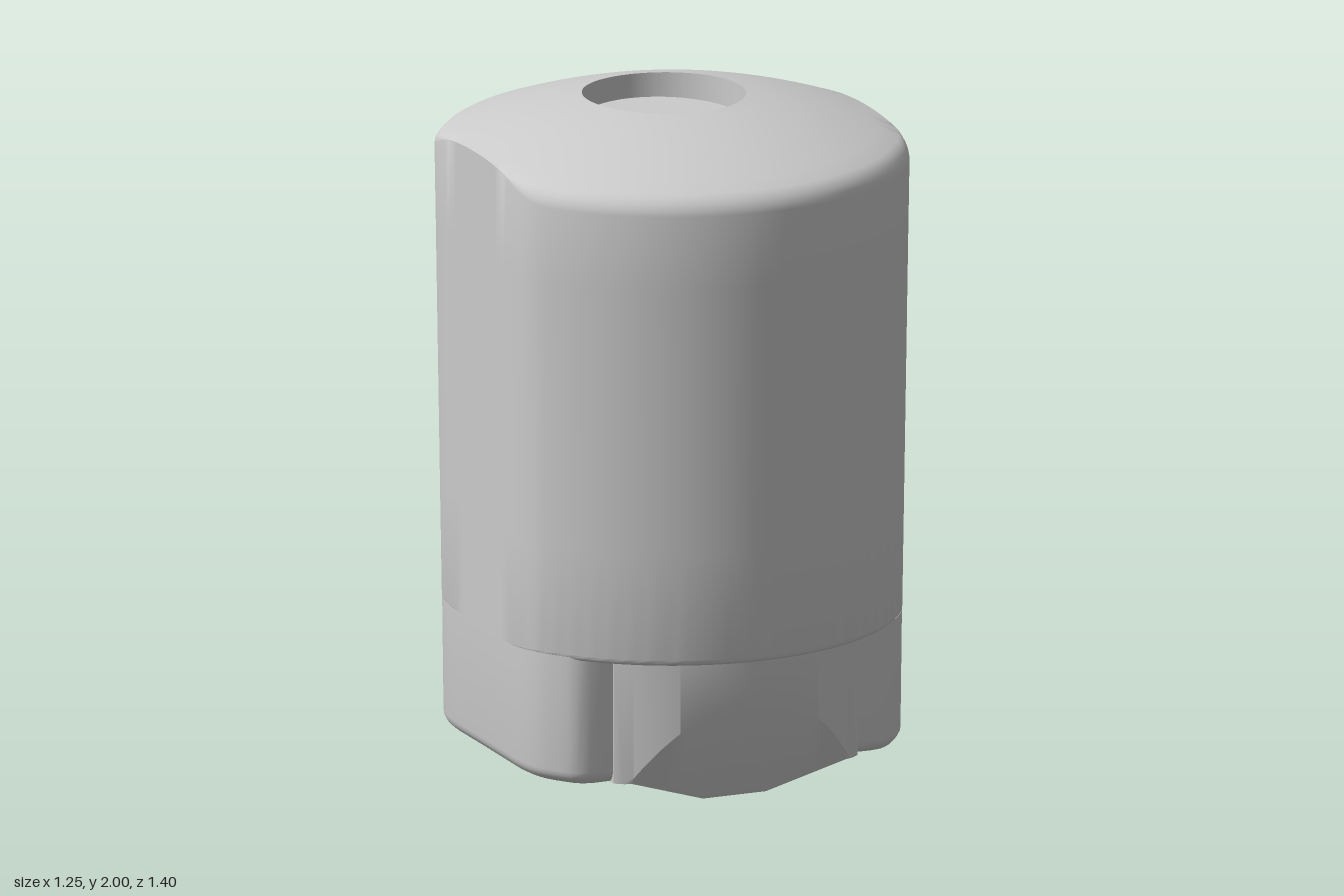
import * as THREE from 'three';
import { toCreasedNormals } from 'three/addons/utils/BufferGeometryUtils.js';

const SIDES = 144;
const V = (x, y, z) => new THREE.Vector3(x, y, z);

// Closed skin through rows of points; each row is a loop, end rows are capped to their centre.
function loft(rows) {
  const centre = row => {
    const c = row.reduce((s, p) => s.add(p), V(0, 0, 0)).divideScalar(row.length);
    return row.map(() => c);
  };
  const all = [centre(rows[0]), ...rows, centre(rows[rows.length - 1])];
  const n = rows[0].length, index = [];
  for (let i = 0; i < all.length - 1; i++) {
    for (let j = 0; j < n; j++) {
      const a = i * n + j, b = i * n + (j + 1) % n;
      index.push(a, a + n, b, b, a + n, b + n);
    }
  }
  const geometry = new THREE.BufferGeometry().setFromPoints(all.flat());
  geometry.setIndex(index);
  return toCreasedNormals(geometry, 0.55);
}

// Rounded minimum, used to soften where a flat meets a curve.
function softMin(a, b, k) {
  const h = Math.max(k - Math.abs(a - b), 0) / k;
  return Math.min(a, b) - h * h * k / 4;
}

// One loop around the y axis; fn(angle) gives [radius, height].
function ring(fn) {
  return Array.from({ length: SIDES }, (_, j) => {
    const t = j / SIDES * Math.PI * 2;
    const [r, y] = fn(t);
    return V(r * Math.cos(t), y, r * Math.sin(t));
  });
}

// Round section with two side flats, widening slightly upward.
function bodyRadius(t, y) {
  const round = 0.68 + (y - 0.46) * 0.0146;
  const flat = 0.603 + (y - 0.46) * 0.0153;
  return softMin(round, flat / Math.max(Math.abs(Math.cos(t)), 1e-3), 0.045);
}
const domeY = r => 2.0125 - r * r / 3.42;

// Edge rounding is full on the curved faces and fades out on the flats.
const roundness = t => THREE.MathUtils.smoothstep(Math.abs(0.68 * Math.sin(t)), 0.18, 0.4);

function bodyGeometry() {
  const rows = [];
  const arc = [0, 0.25, 0.5, 0.75, 1].map(s => s * Math.PI / 2);
  // lower lip
  for (const a of arc) {
    rows.push(ring(t => {
      const f = 0.018 * roundness(t);
      return [bodyRadius(t, 0.46) - f * (1 - Math.sin(a)), 0.46 + f * (1 - Math.cos(a))];
    }));
  }
  // wall
  for (const y of [0.8, 1.2, 1.6]) rows.push(ring(t => [bodyRadius(t, y), y]));
  // shoulder
  for (const a of arc) {
    rows.push(ring(t => {
      const f = 0.042 * roundness(t);
      const r = bodyRadius(t, 1.86) - f * (1 - Math.cos(a));
      return [r, domeY(r) - f * (1 - Math.sin(a))];
    }));
  }
  // dome, running in to the oval recess
  const outer = rows[rows.length - 1];
  const oval = ring(() => [1, 0]).map(p => V(p.x * 0.235, 0, p.z * 0.26 - 0.06));
  for (let i = 1; i <= 8; i++) {
    rows.push(outer.map((p, j) => {
      const q = p.clone().lerp(oval[j], i / 8);
      q.y = domeY(Math.hypot(q.x, q.z));
      return q;
    }));
  }
  // recess floor
  rows.push(oval.map(p => V(p.x, 1.91, p.z)));
  return loft(rows);
}

// Base block: side flats, flat front and back, rounded bottom edge.
function blockGeometry() {
  const radius = (t, y) =>
    softMin(bodyRadius(t, y), 0.46 / Math.max(Math.abs(Math.sin(t)), 1e-3), 0.03);
  const rows = [];
  for (let i = 0; i <= 5; i++) {
    const a = i / 5 * Math.PI / 2;
    const y = 0.08 + 0.04 * (1 - Math.cos(a));
    rows.push(ring(t => [radius(t, y) - 0.04 * (1 - Math.sin(a)), y]));
  }
  rows.push(ring(t => [radius(t, 0.47) - 0.001, 0.47]));
  return loft(rows);
}

// Tongue: round front and back, sloped undercuts and a keel-shaped bottom.
function tongueGeometry() {
  const xs = [0.1, 0.34];
  for (let i = 0; i <= 16; i++) xs.push(i / 16 * 0.388);
  const half = [...new Set(xs)].sort((a, b) => a - b);
  const all = [...half.slice(1).reverse().map(x => -x), ...half];
  return loft(all.map(x => {
    const s = Math.sqrt(0.605 ** 2 - x * x);
    const keelY = THREE.MathUtils.clamp((Math.abs(x) - 0.1) / 0.24, 0, 1) * 0.08;
    const keelZ = Math.min(s, 0.455 + 0.46 * keelY);
    const cutY = Math.max(keelY, (s - 0.455) / 0.46);
    return [V(x, keelY, keelZ), V(x, cutY, s), V(x, 0.47, s),
      V(x, 0.47, -s), V(x, cutY, -s), V(x, keelY, -keelZ)];
  }));
}

export function createModel() {
  const material = new THREE.MeshStandardMaterial({ color: 0xcccccc });
  const group = new THREE.Group();
  const parts = { body: bodyGeometry(), baseBlock: blockGeometry(), baseTongue: tongueGeometry() };
  for (const [name, geometry] of Object.entries(parts)) {
    const mesh = new THREE.Mesh(geometry, material);
    mesh.name = name;
    group.add(mesh);
  }
  return group;
}
